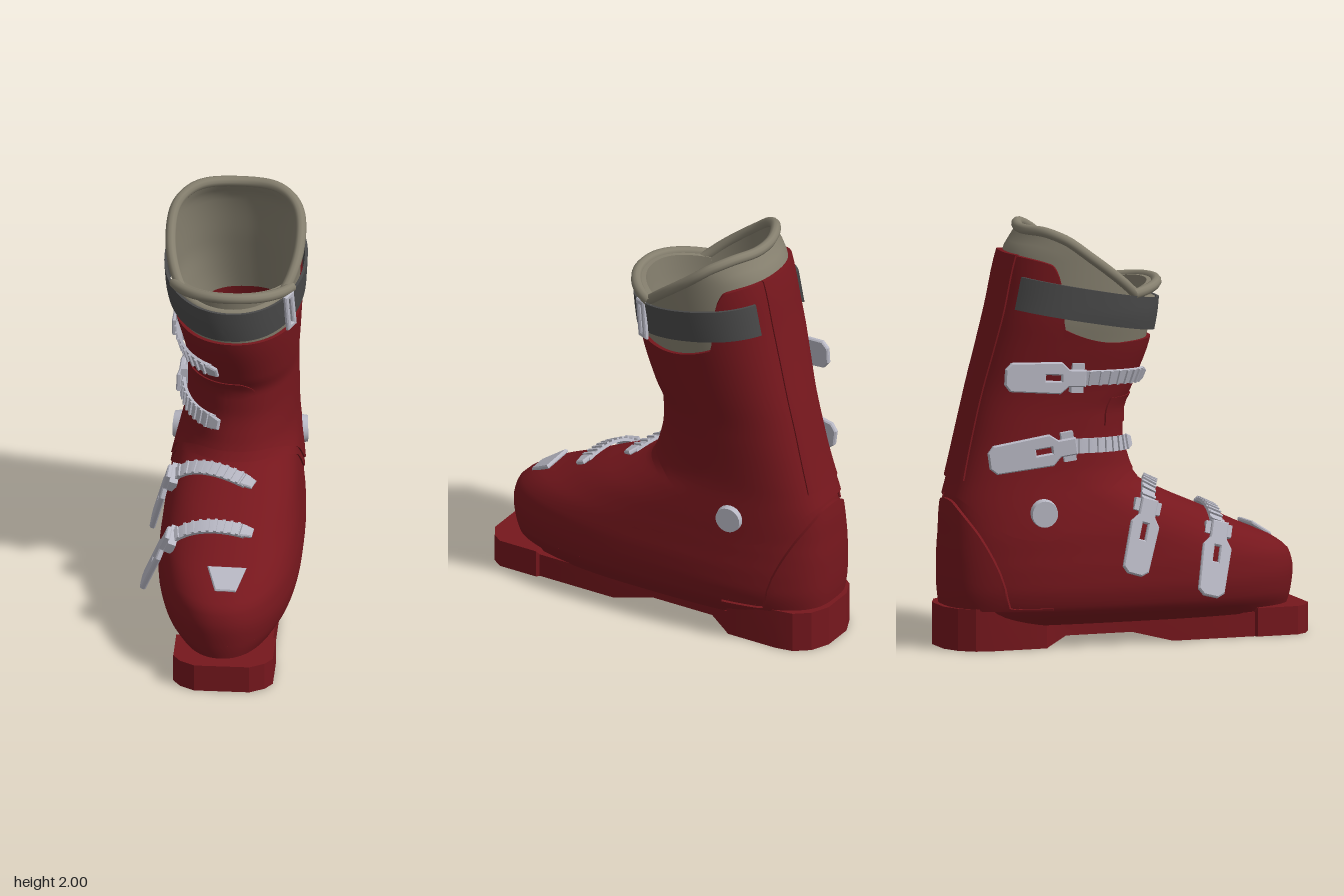
import * as THREE from 'three';
import { toCreasedNormals } from 'three/addons/utils/BufferGeometryUtils.js';

const mat = (color) => new THREE.MeshStandardMaterial({ color, side: THREE.DoubleSide });
const RED = mat(0x76171d), LINER = mat(0x857f6e), STRAP = mat(0x4a4a4a), METAL = mat(0xb8b8c4);
const V = (x, y, z) => new THREE.Vector3(x, y, z);
const rad = THREE.MathUtils.degToRad;

// Smooth monotone interpolation of column k in a table sorted by column 0
function interp(tab, x, k = 1) {
  const n = tab.length - 1;
  if (x <= tab[0][0]) return tab[0][k];
  if (x >= tab[n][0]) return tab[n][k];
  let i = 0;
  while (x > tab[i + 1][0]) i++;
  const slope = (j) => (tab[j + 1][k] - tab[j][k]) / (tab[j + 1][0] - tab[j][0]);
  const tan = (j) => {
    if (j === 0) return slope(0);
    if (j === n) return slope(n - 1);
    const a = slope(j - 1), b = slope(j);
    return a * b <= 0 ? 0 : (2 * a * b) / (a + b);
  };
  const h = tab[i + 1][0] - tab[i][0], t = (x - tab[i][0]) / h, t2 = t * t, t3 = t2 * t;
  return tab[i][k] * (2 * t3 - 3 * t2 + 1) + tab[i + 1][k] * (3 * t2 - 2 * t3)
    + h * (tan(i) * (t3 - 2 * t2 + t) + tan(i + 1) * (t3 - t2));
}

// Boot body cross-sections: y, front z, back z, z of widest point, half width, centre x
const BODY = [
  [.11, .83, -.84, .1, .25, .03], [.2, .85, -.86, .1, .315, .025], [.3, .86, -.868, .1, .335, .025],
  [.38, .842, -.868, .08, .333, .025], [.45, .76, -.868, .05, .325, .025], [.53, .58, -.862, -.02, .315, .025],
  [.62, .39, -.858, -.12, .298, .03], [.7, .21, -.848, -.22, .28, .035], [.78, .07, -.825, -.32, .262, .04],
  [.86, .03, -.803, -.37, .252, .045], [1, 0, -.768, -.38, .246, .05], [1.1, 0, -.744, -.37, .246, .05],
  [1.2, .045, -.72, -.34, .252, .05], [1.43, .13, -.663, -.28, .283, .035], [1.6, .155, -.622, -.24, .305, .025],
  [1.88, .17, -.555, -.2, .318, .025], [1.94, .17, -.51, -.19, .32, .025], [2.02, .17, -.475, -.18, .32, .025]];
// Squareness of the outline by height: front half, back half
const SQUARE = [[.5, 2.2, 2.9], [1, 2.2, 2.6], [1.9, 2.05, 2.2]];
const pw = (v, n) => Math.sign(v) * Math.abs(v) ** (2 / n);
const section = (y) => [...[1, 2, 3, 4, 5].map((k) => interp(BODY, y, k)), interp(SQUARE, y), interp(SQUARE, y, 2)];

// Point on the body at angle a (0 = +x, 90 degrees = front) and height y
function body(a, y, off = 0) {
  const [zf, zb, zc, w, cx, nf, nb] = section(y), s = Math.sin(a), n = s > 0 ? nf : nb;
  return V(cx + (w + off) * pw(Math.cos(a), n), y, zc + (s > 0 ? zf - zc + off : zc - zb + off) * pw(s, n));
}
function field(x, y, z) {
  const [zf, zb, zc, w, cx, nf, nb] = section(y), n = z > zc ? nf : nb;
  return Math.abs((x - cx) / w) ** n + Math.abs((z - zc) / (z > zc ? zf - zc : zc - zb)) ** n - 1;
}
function normalAt(p) {
  const e = .004, g = (dx, dy, dz) => field(p.x + dx, p.y + dy, p.z + dz) - field(p.x - dx, p.y - dy, p.z - dz);
  return V(g(e, 0, 0), g(0, e, 0), g(0, 0, e)).normalize();
}
function bisect(f, lo, hi) {
  for (let i = 0; i < 26; i++) { const m = (lo + hi) / 2; if (f(m) > 0) hi = m; else lo = m; }
  return (lo + hi) / 2;
}
const topOfFoot = (x, z) => V(x, bisect((y) => field(x, y, z), .36, .95), z);
// Turns an edge drawn in side view, y over z, into heights per angle
const edge = (tab, d = 0) => (a) => bisect((y) => y - interp(tab, body(a, y).z) - d, .1, 2.05);

// Skin over rows of points, each row a closed loop
function loft(rows, crease = .6) {
  const m = rows[0].length, idx = [];
  for (let i = 0; i < rows.length - 1; i++) for (let j = 0; j < m; j++) {
    const k = (j + 1) % m, a = i * m + j, b = i * m + k;
    idx.push(a, b, b + m, a, b + m, a + m);
  }
  const g = new THREE.BufferGeometry().setFromPoints(rows.flat());
  g.setIndex(idx);
  return toCreasedNormals(g, crease);
}
// Thin plate hugging the body between two height functions
function patch(lo, hi, a0, a1, off, thick, na, ny) {
  const row = (a, outer) => {
    const l = lo(a), h = hi(a), out = [], inn = [];
    for (let j = 0; j <= ny; j++) {
      const y = l + (h - l) * j / ny;
      out.push(body(a, y, outer)); inn.unshift(body(a, y, off - thick));
    }
    return out.concat(inn);
  };
  const rows = [];
  for (let i = 0; i <= na; i++) rows.push(row(rad(a0 + (a1 - a0) * i / na), off));
  if (a1 - a0 < 360) { rows.unshift(row(rad(a0), off - thick)); rows.push(row(rad(a1), off - thick)); }
  return loft(rows);
}
// Flat band along a path
function ribbon(pts, nor, width, thick) {
  const rows = pts.map((p, i) => {
    const t = pts[Math.min(i + 1, pts.length - 1)].clone().sub(pts[Math.max(i - 1, 0)]).normalize();
    const b = t.cross(nor[i]).normalize();
    return [[-1, 1], [1, 1], [1, 0], [-1, 0]].map(([s, u]) =>
      p.clone().addScaledVector(b, s * width / 2).addScaledVector(nor[i], u * thick));
  });
  const cap = (p) => Array(4).fill(p);
  return loft([cap(pts[0]), ...rows, cap(pts[pts.length - 1])]);
}
function place(obj, p, dir, nor) {
  const x = dir.clone().normalize(), z = nor.clone().addScaledVector(x, -nor.dot(x)).normalize();
  obj.quaternion.setFromRotationMatrix(new THREE.Matrix4().makeBasis(x, z.clone().cross(x), z));
  obj.position.copy(p);
  return obj;
}
const poly = (pts) => pts.map(([x, y]) => new THREE.Vector2(x, y));
function plate(outline, hole, depth) {
  const s = new THREE.Shape(poly(outline));
  if (hole) s.holes.push(new THREE.Path(poly(hole)));
  return new THREE.ExtrudeGeometry(s, { depth, bevelThickness: .006, bevelSize: .006, bevelSegments: 1 });
}

export function createModel() {
  const g = new THREE.Group();
  const add = (name, geo, m, parent = g) => {
    const mesh = new THREE.Mesh(geo, m); mesh.name = name; parent.add(mesh); return mesh;
  };
  const at = (y) => () => y;

  // Sole: z, half width, bottom, top
  const sole = [[.91, .13, 0, .135], [.87, .2, 0, .135], [.82, .235, 0, .135], [.62, .235, 0, .135], [.61, .22, 0, .115],
    [.2, .22, 0, .115], [0, .2, .05, .115], [-.33, .2, .05, .115], [-.43, .235, .005, .115], [-.44, .24, 0, .2],
    [-.7, .24, 0, .2], [-.79, .225, 0, .2], [-.86, .17, 0, .2], [-.9, .08, 0, .2]]
    .map(([z, w, b, t]) => [[w, t], [w, b], [-w, b], [-w, t]].map(([x, y]) => V(x + .04, y, z)));
  const cap = (r) => Array(4).fill(V(.04, .06, r[0].z));
  add('sole', loft([cap(sole[0]), ...sole, cap(sole[sole.length - 1])], .4), RED);

  // Lower shell with its floor and heel counter
  add('lowerShell', patch(at(.11), at(.86), 0, 360, 0, .015, 96, 32), RED);
  const ring = (y, k) => Array.from({ length: 65 }, (_, i) => k ? body(i / 32 * Math.PI, y) : V(.03, y, 0));
  for (const y of [.112, .21]) {
    const hub = ring(y, 0), rimRow = ring(y, 1);
    add('shellFloor', loft(hub.map((h, i) => [h, rimRow[i]])), RED);
  }
  const heelTop = edge([[-.88, .75], [-.86, .73], [-.83, .66], [-.76, .54], [-.68, .37], [-.63, .2]]);
  add('heelCounter', patch(at(.19), (a) => Math.max(heelTop(a), .2), 205, 335, .017, .026, 60, 12), RED);

  // Cuff, trim under its lower edge, spine panel and front overlap tab
  const low = [[-.87, .75], [-.82, .71], [-.7, .59], [-.6, .54], [-.46, .52], [-.34, .57], [-.15, .74], [0, .81], [.1, .82]];
  const high = [[-.6, 1.87], [-.43, 1.83], [-.395, 1.76], [-.37, 1.52], [-.07, 1.44], [.2, 1.44]];
  add('cuff', patch(edge(low), edge(high), 0, 360, .014, .025, 160, 32), RED);
  add('cuffTrim', patch(edge(low, -.045), edge(low), -75, 255, .007, .015, 120, 2), RED);
  add('spinePanel', patch(at(.8), at(1.865), 250, 290, .024, .02, 16, 20), RED);
  const tabHalf = (a) => .065 * Math.sqrt(Math.max(.02, Math.min(1, (a - rad(74)) / rad(14))));
  add('overlapTab', patch((a) => 1.105 - tabHalf(a), (a) => 1.105 + tabHalf(a), 74, 145, .022, .02, 30, 4), RED);

  // Liner and tongue, each with a padded rim
  const rim = edge([[-.53, 1.965], [-.46, 1.98], [-.38, 1.955], [-.25, 1.865], [-.1, 1.755], [.04, 1.65], [.2, 1.6]]);
  const tongueTop = (a) => 1.665 + .045 * Math.sin(a) ** 2;
  add('liner', patch(at(1.3), rim, 0, 360, -.005, .022, 96, 20), LINER);
  add('tongue', patch(at(1.1), tongueTop, 30, 150, -.013, .025, 40, 14), LINER);
  const rimTube = (name, top, a0, a1, off, closed) => {
    const pts = [];
    for (let i = 0; i < 48; i++) {
      const a = rad(a0 + (a1 - a0) * i / (closed ? 48 : 47));
      pts.push(body(a, top(a) - .005, off));
    }
    add(name, new THREE.TubeGeometry(new THREE.CatmullRomCurve3(pts, closed), 120, .025, 10, closed), LINER);
  };
  rimTube('linerRim', rim, 0, 360, -.01, true);
  rimTube('tongueRim', tongueTop, 30, 150, .008, false);

  // Power strap with a metal loop
  const strapLine = [[-.64, 1.71], [-.2, 1.62], [.18, 1.54]];
  add('powerStrap', patch(edge(strapLine, -.08), edge(strapLine, .08), -58, 238, .026, .014, 100, 6), STRAP);
  const la = rad(37), lp = body(la, 1.57, .028);
  place(add('strapLoop', plate([[-.03, -.09], [.03, -.09], [.03, .09], [-.03, .09]],
    [[-.014, -.075], [-.014, .075], [.014, .075], [.014, -.075]], .01), METAL), lp,
    body(la - .05, 1.575).sub(body(la + .05, 1.57)), normalAt(lp).setY(0));

  // Hinge bolts
  const hinge = bisect((q) => body(q, .65).z + .47, -1.4, 0);
  for (const side of [1, -1]) {
    const bolt = new THREE.Group();
    bolt.name = 'hingeBolt';
    add('boltHead', new THREE.CylinderGeometry(.062, .07, .04, 24).rotateX(Math.PI / 2), METAL, bolt);
    g.add(place(bolt, body(side > 0 ? hinge : Math.PI - hinge, .65, .015), V(0, 1, 0), V(side, 0, -.1)));
  }

  // Toe plate
  const tp = topOfFoot(.045, .695);
  place(add('toePlate', plate([[-.06, -.085], [.06, -.045], [.06, .045], [-.06, .085]], null, .008), METAL),
    tp, V(0, -.06, .1), normalAt(tp));

  // Buckles: toothed strap with end tab, pivot and slotted lever
  function buckle(name, pts, dir, leverNormal, len, w) {
    const b = new THREE.Group(); b.name = name; g.add(b);
    const nor = pts.map(normalAt), lift = pts.map((p, i) => p.clone().addScaledVector(nor[i], .01));
    add('buckleStrap', ribbon(lift, nor, .07, .014), METAL, b);
    for (let i = 1; i < pts.length - 1; i++) {
      const d = lift[i + 1].clone().sub(lift[i - 1]);
      place(add('strapTooth', new THREE.BoxGeometry(.014, .07, .014), METAL, b),
        lift[i].clone().addScaledVector(nor[i], .016), d, nor[i]);
    }
    place(add('strapTab', plate([[-.03, -.02], [.02, -.03], [.02, .03], [-.03, .02]], null, .01), METAL, b),
      lift[0].clone().addScaledVector(nor[0], .006), lift[1].clone().sub(lift[0]), nor[0]);
    const e = pts.length - 1, d = dir.clone().normalize();
    const pivot = lift[e].clone().addScaledVector(leverNormal, .02);
    place(add('pivotBlock', new THREE.BoxGeometry(.06, w * 2, .04), METAL, b), lift[e], d, leverNormal);
    const lever = plate([[-.03, -.035], [.05, -.035], [.09, -w], [len * .93, -w * .9], [len, -w * .5],
      [len, w * .5], [len * .93, w * .9], [.09, w], [.05, .035], [-.03, .035]],
      [[.08, -.02], [.08, .02], [.17, .02], [.17, -.02]], .014);
    place(add('lever', lever, METAL, b), pivot, d, leverNormal);
  }
  const range = (n, f) => Array.from({ length: n }, (_, i) => f(i / (n - 1)));
  buckle('toeBuckle', range(11, (t) => topOfFoot(.115 - .34 * t, .44 - .04 * t)),
    V(-.12, -.31, -.09), V(-.94, .34, 0), .33, .065);
  buckle('instepBuckle', range(11, (t) => topOfFoot(.105 - .345 * t, .18 - .14 * t)),
    V(-.08, -.31, -.1), V(-.97, .24, 0), .33, .065);
  const cuffPath = (y, end) => range(10, (t) => body(rad(111 + (end - 111) * t), y + .02 * t, .014));
  buckle('ankleBuckle', cuffPath(.94, 176), V(.09, -.14, -1), V(-.99, 0, -.1), .39, .07);
  buckle('shinBuckle', cuffPath(1.27, 179), V(.03, .06, -1), V(-1, 0, -.03), .36, .07);
  return g;
}
